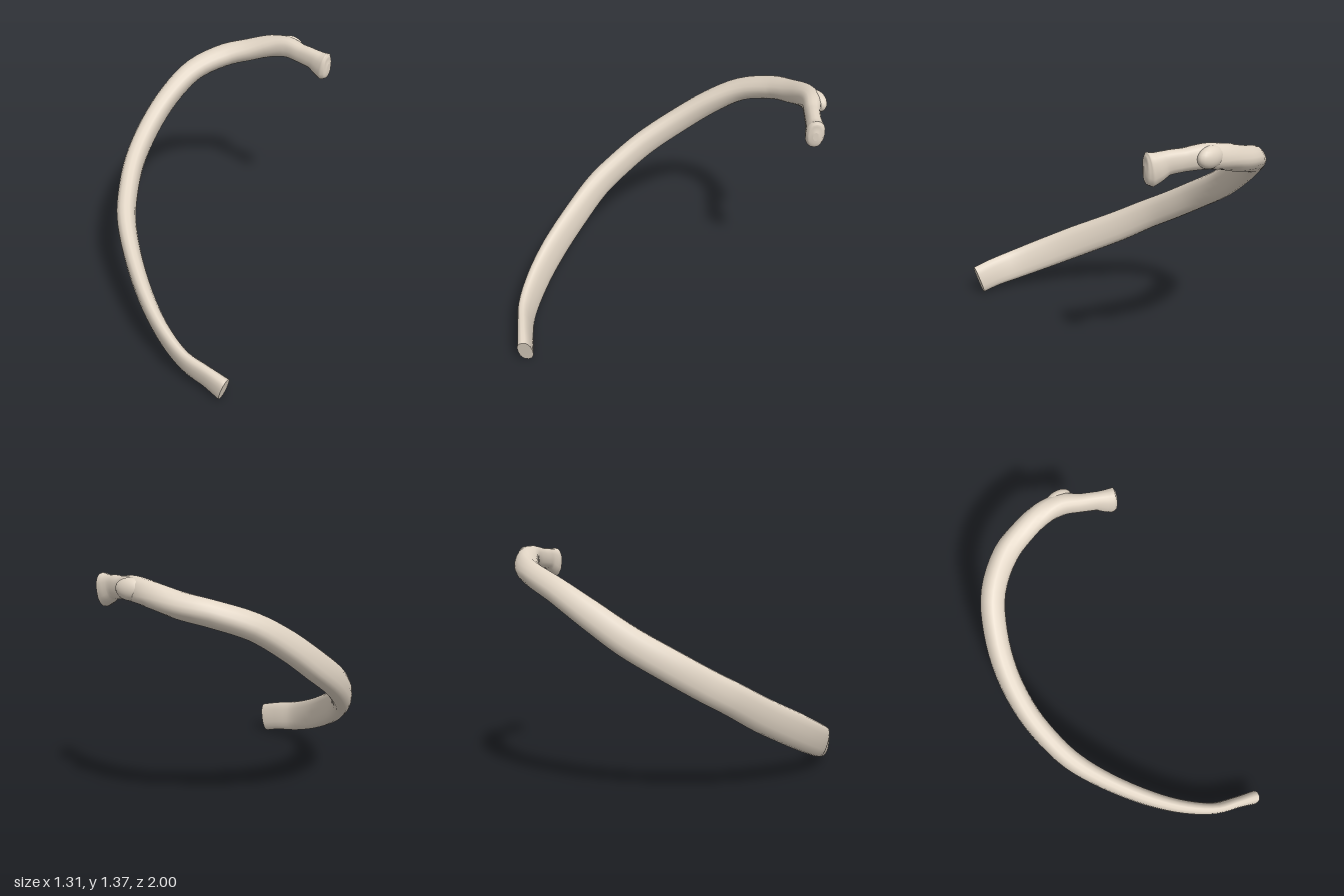
import * as THREE from 'three';

const SIDES = 16;
const bone = new THREE.MeshStandardMaterial({ color: 0xe0d4c4 });

// Stations along the rib: centre x, y, z, half height, half thickness, lean of the section towards +z
const shaft = [
  [0.012, 0.10, 0.95, 0.094, 0.042, 0.15],
  [-0.08, 0.133, 0.89, 0.094, 0.036, 0.25],
  [-0.21, 0.168, 0.80, 0.098, 0.036, 0.35],
  [-0.34, 0.24, 0.64, 0.102, 0.042, 0.45],
  [-0.445, 0.33, 0.45, 0.104, 0.048, 0.5],
  [-0.54, 0.45, 0.20, 0.1, 0.053, 0.55],
  [-0.588, 0.56, 0, 0.094, 0.058, 0.55],
  [-0.59, 0.64, -0.15, 0.092, 0.059, 0.55],
  [-0.56, 0.757, -0.35, 0.09, 0.06, 0.58],
  [-0.475, 0.89, -0.56, 0.087, 0.062, 0.65],
  [-0.35, 1.03, -0.73, 0.08, 0.064, 0.8],
  [-0.2, 1.143, -0.855, 0.07, 0.067, 0.95],
  [0, 1.215, -0.925, 0.066, 0.07, 0.9],
  [0.15, 1.25, -0.927, 0.067, 0.068, 0.7],
  [0.3, 1.293, -0.895, 0.067, 0.065, 0.4],
];
const neckAndHead = [
  [0.4, 1.31, -0.84, 0.066, 0.056, 0.1],
  [0.48, 1.3, -0.765, 0.06, 0.045, 0],
  [0.55, 1.292, -0.705, 0.064, 0.043, 0],
  [0.595, 1.275, -0.67, 0.08, 0.052, 0],
  [0.62, 1.268, -0.65, 0.09, 0.054, 0],
  [0.636, 1.266, -0.638, 0.07, 0.04, 0],
  [0.642, 1.266, -0.633, 0.025, 0.015, 0],
];

// Sweeps a rounded oval section through the stations and closes both ends
function loft(stations, steps) {
  const curve = new THREE.CatmullRomCurve3(stations.map(s => new THREE.Vector3(s[0], s[1], s[2])), false, 'centripetal');
  const n = stations.length - 1;
  const positions = [], index = [];
  const roundOff = v => Math.sign(v) * Math.abs(v) ** 0.85;
  const rings = n * steps;
  for (let i = 0; i <= rings; i++) {
    const t = i / rings, k = Math.min(Math.floor(i / steps), n - 1), f = i / steps - k;
    const [height, thick, lean] = [3, 4, 5].map(c => THREE.MathUtils.lerp(stations[k][c], stations[k + 1][c], f));
    const centre = curve.getPoint(t), along = curve.getTangent(t);
    const up = new THREE.Vector3(0, 1, lean);
    up.addScaledVector(along, -up.dot(along)).normalize();
    const side = new THREE.Vector3().crossVectors(up, along).normalize();
    for (let j = 0; j < SIDES; j++) {
      const a = j / SIDES * Math.PI * 2;
      const p = centre.clone()
        .addScaledVector(side, roundOff(Math.cos(a)) * thick)
        .addScaledVector(up, roundOff(Math.sin(a)) * height);
      positions.push(p.x, p.y, p.z);
    }
  }
  for (let i = 0; i < rings; i++) {
    for (let j = 0; j < SIDES; j++) {
      const a = i * SIDES + j, b = i * SIDES + (j + 1) % SIDES;
      index.push(a, b, b + SIDES, a, b + SIDES, a + SIDES);
    }
  }
  // End caps use their own vertices so that their rims stay crisp
  for (const ring of [0, rings]) {
    const first = positions.length / 3;
    positions.push(...positions.slice(ring * SIDES * 3, (ring + 1) * SIDES * 3));
    for (let j = 1; j < SIDES - 1; j++) {
      if (ring === 0) index.push(first, first + j + 1, first + j);
      else index.push(first, first + j, first + j + 1);
    }
  }
  const geometry = new THREE.BufferGeometry();
  geometry.setAttribute('position', new THREE.Float32BufferAttribute(positions, 3));
  geometry.setIndex(index);
  geometry.computeVertexNormals();
  return geometry;
}

export function createModel() {
  const group = new THREE.Group();
  group.name = 'rib';

  // Curved shaft running on into the neck and the swollen head
  const body = new THREE.Mesh(loft([...shaft, ...neckAndHead], 4), bone);
  body.name = 'shaftNeckAndHead';
  group.add(body);

  // Knob at the outer bend, where the neck begins
  const tubercle = new THREE.Mesh(new THREE.SphereGeometry(1, 20, 14), bone);
  tubercle.name = 'tubercle';
  tubercle.scale.set(0.085, 0.058, 0.045);
  tubercle.position.set(0.41, 1.312, -0.876);
  tubercle.rotation.y = -0.3;
  group.add(tubercle);

  return group;
}
